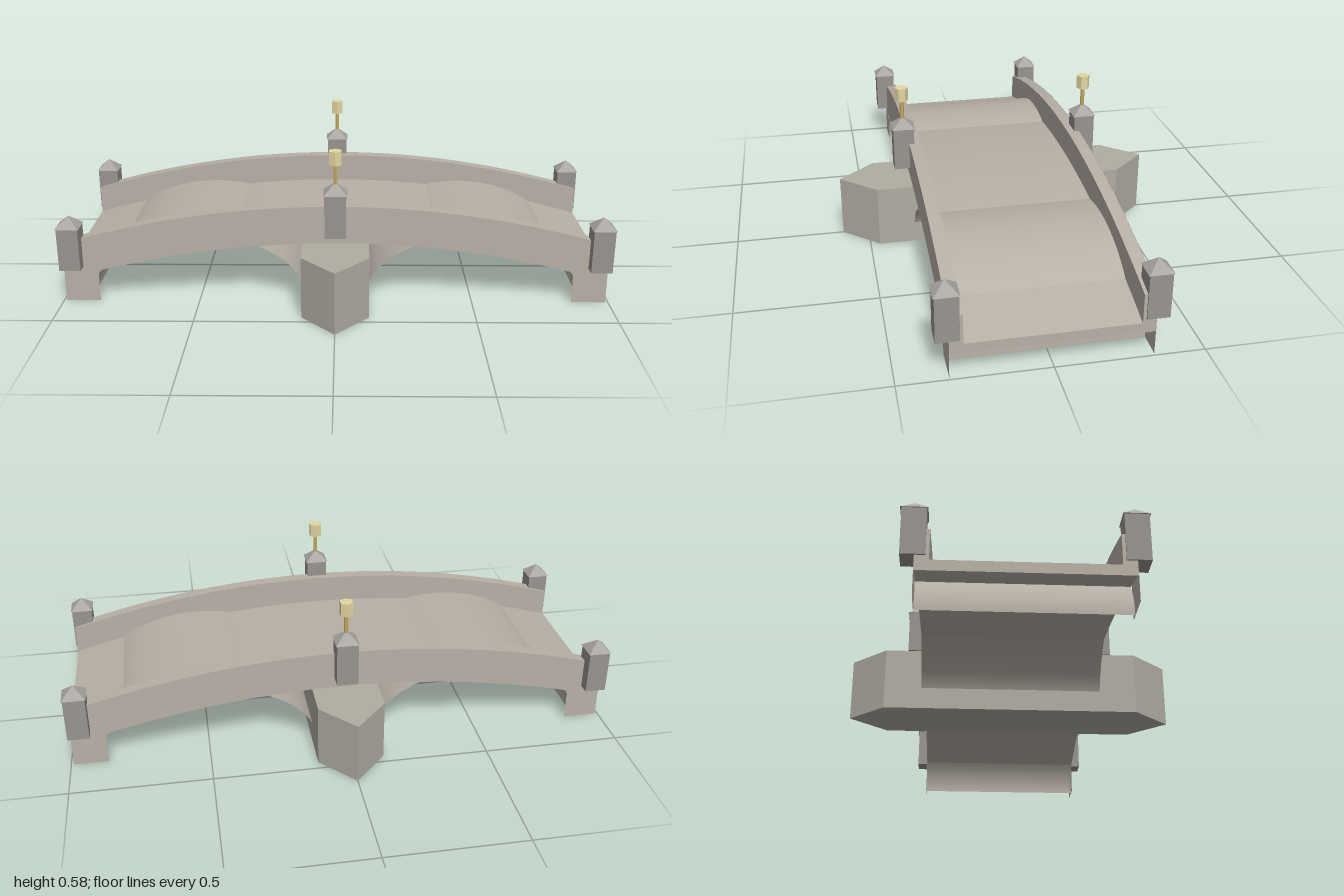
import * as THREE from 'three';

const HALF = 0.99, RISE = 0.148, WIDTH = 0.66;
const mat = (color, extra = {}) => new THREE.MeshStandardMaterial({ color, ...extra });
const stone = mat(0xb8b0a6);
const stoneSheet = mat(0xb8b0a6, { side: THREE.DoubleSide });
const pierStone = mat(0xb0aca2, { flatShading: true });
const postStone = mat(0x98938f, { flatShading: true });
const capStone = mat(0xaaa6a1, { flatShading: true });
const brass = mat(0xc4a860, { flatShading: true });
const glass = mat(0xe2d6a0, { flatShading: true });

function add(parent, name, geometry, material, x = 0, y = 0, z = 0) {
  const mesh = new THREE.Mesh(geometry, material);
  mesh.name = name;
  mesh.position.set(x, y, z);
  parent.add(mesh);
  return mesh;
}

// Points along the bridge's arched line, crown at height top
function archLine(top, half = HALF, n = 32) {
  return Array.from({ length: n + 1 }, (_, i) => {
    const x = -half + (2 * half * i) / n;
    return new THREE.Vector2(x, top - RISE * x * x);
  });
}

// Band between two arched lines, extruded along z about its own centre
function archBand(bottom, top, depth) {
  const shape = new THREE.Shape([...archLine(bottom), ...archLine(top).reverse()]);
  return new THREE.ExtrudeGeometry(shape, { depth, bevelEnabled: false }).translate(0, 0, -depth / 2);
}

// Square post with a pyramid cap
function post(name, x, y, z) {
  const g = new THREE.Group();
  g.name = name;
  g.position.set(x, y, z);
  add(g, 'postShaft', new THREE.BoxGeometry(0.077, 0.16, 0.077), postStone, 0, 0.08, 0);
  const cap = new THREE.ConeGeometry(0.06, 0.04, 4).rotateY(Math.PI / 4);
  add(g, 'postCap', cap, capStone, 0, 0.18, 0);
  return g;
}

export function createModel() {
  const model = new THREE.Group();
  model.name = 'archedBridge';

  // Walkway
  add(model, 'deck', archBand(0.229, 0.265, WIDTH), stone);

  // Thin side wall with a leg at each end
  const wall = new THREE.Shape([
    new THREE.Vector2(-HALF, 0), new THREE.Vector2(-0.865, 0),
    ...archLine(0.23, 0.865),
    new THREE.Vector2(0.865, 0), new THREE.Vector2(HALF, 0),
    ...archLine(0.37).reverse(),
  ]);

  for (const s of [1, -1]) {
    const side = s > 0 ? 'front' : 'back';
    add(model, side + 'SideWall', new THREE.ShapeGeometry(wall), stoneSheet, 0, 0, s * 0.331);
    add(model, side + 'Parapet', archBand(0.23, 0.37, 0.045), stone, 0, 0, s * 0.308);

    // End posts
    for (const e of [1, -1]) {
      model.add(post(side + (e > 0 ? 'Left' : 'Right') + 'Post', e * 0.957, 0.135, s * 0.335));
    }

    // Middle post carrying a lamp
    const lampPost = post(side + 'LampPost', 0, 0.27, s * 0.35);
    add(lampPost, 'lampPole', new THREE.CylinderGeometry(0.008, 0.008, 0.09, 6), brass, 0, 0.225, 0);
    add(lampPost, 'lantern', new THREE.CylinderGeometry(0.025, 0.025, 0.05, 6), glass, 0, 0.29, 0);
    model.add(lampPost);

    // Open barrel vault, a flattened half cylinder lying along z
    const vault = new THREE.CylinderGeometry(0.4, 0.4, WIDTH, 24, 1, true, Math.PI / 2, Math.PI)
      .rotateX(Math.PI / 2).scale(1, 0.65, 1);
    add(model, s > 0 ? 'leftVault' : 'rightVault', vault, stoneSheet, s * 0.5, 0, 0);
  }

  // Pier with pointed noses front and back
  const plan = new THREE.Shape([
    [0, -0.597], [0.12, -0.465], [0.12, 0.465], [0, 0.597], [-0.12, 0.465], [-0.12, -0.465],
  ].map(([x, y]) => new THREE.Vector2(x, y)));
  const pier = new THREE.ExtrudeGeometry(plan, { depth: 0.229, bevelEnabled: false }).rotateX(-Math.PI / 2);
  add(model, 'pier', pier, pierStone);

  return model;
}
